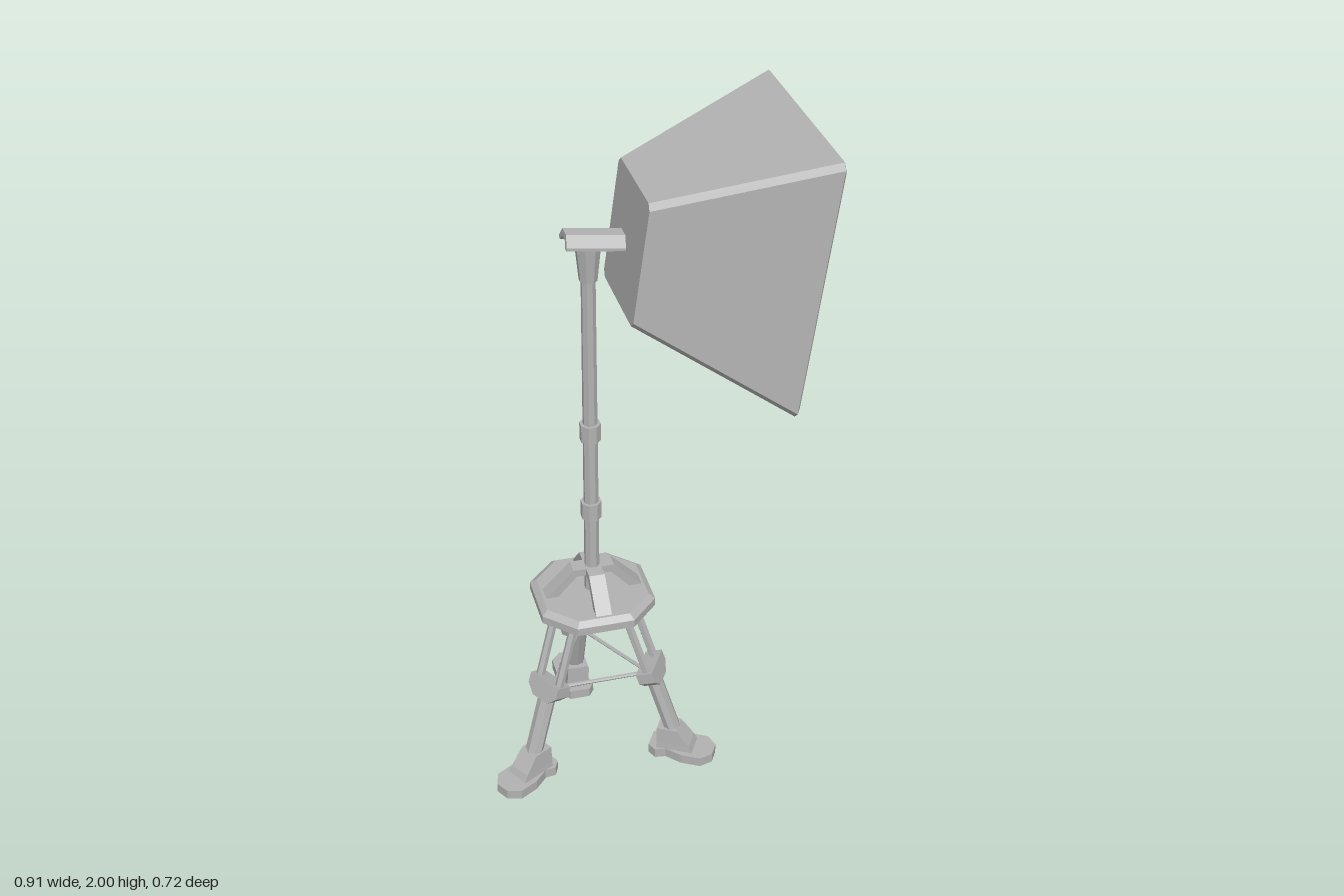
import * as THREE from 'three';

const grey = new THREE.MeshStandardMaterial({ color: 0xb2b2b2, flatShading: true });
grey.name = 'grey';

function add(parent, name, geometry, x = 0, y = 0, z = 0) {
  const mesh = new THREE.Mesh(geometry, grey);
  mesh.name = name;
  mesh.position.set(x, y, z);
  parent.add(mesh);
  return mesh;
}

// Straight rod between two points
function rod(parent, name, a, b, radius, sides = 6) {
  const from = new THREE.Vector3(...a), to = new THREE.Vector3(...b);
  const dir = to.clone().sub(from);
  const mesh = add(parent, name, new THREE.CylinderGeometry(radius, radius, dir.length(), sides));
  mesh.position.copy(from).addScaledVector(dir, 0.5);
  mesh.quaternion.setFromUnitVectors(new THREE.Vector3(0, 1, 0), dir.normalize());
  return mesh;
}

// Closed solid through rings of points, counterclockwise about the loft direction
function loft(rings) {
  const n = rings[0].length, pos = [];
  const tri = (a, b, c) => pos.push(...a, ...b, ...c);
  for (let r = 0; r < rings.length - 1; r++) {
    const A = rings[r], B = rings[r + 1];
    for (let i = 0; i < n; i++) {
      const j = (i + 1) % n;
      tri(A[i], A[j], B[j]);
      tri(A[i], B[j], B[i]);
    }
  }
  const first = rings[0], last = rings[rings.length - 1];
  for (let i = 1; i < n - 1; i++) {
    tri(first[0], first[i + 1], first[i]);
    tri(last[0], last[i], last[i + 1]);
  }
  const g = new THREE.BufferGeometry();
  g.setAttribute('position', new THREE.Float32BufferAttribute(pos, 3));
  g.computeVertexNormals();
  return g;
}

// Flat outline pushed out to a depth, centred on z
function extrude(points, depth) {
  const shape = new THREE.Shape(points.map(p => new THREE.Vector2(...p)));
  return new THREE.ExtrudeGeometry(shape, { depth, bevelEnabled: false }).translate(0, 0, -depth / 2);
}

// Rectangle with cut corners, counterclockwise in (a, b)
function cutRect(a, b, c) {
  return [[a, -b + c], [a, b - c], [a - c, b], [-a + c, b],
    [-a, b - c], [-a, -b + c], [-a + c, -b], [a - c, -b]];
}

// One leg, reaching outward along local +z
function makeLeg() {
  const leg = new THREE.Group();
  leg.name = 'leg';
  const half = [[0.022, 0.375], [0.052, 0.345], [0.052, 0.285], [0.036, 0.235], [0.048, 0.205], [0.03, 0.18]];
  const outline = [...half, ...half.map(([x, z]) => [-x, z]).reverse()];
  add(leg, 'foot', extrude(outline, 0.03).rotateX(Math.PI / 2), 0, 0.015, 0);

  const rect = (y, w, z0, z1) => [[-w, y, z0], [-w, y, z1], [w, y, z1], [w, y, z0]];
  add(leg, 'ankle', loft([rect(0.03, 0.036, 0.205, 0.315), rect(0.05, 0.034, 0.205, 0.305),
    rect(0.1, 0.031, 0.205, 0.265)]));

  const shin = rod(leg, 'lowerLeg', [0, 0.07, 0.253], [0, 0.29, 0.18], 0.028, 8);
  shin.scale.z = 0.85;

  const knee = add(leg, 'knee', extrude([[-0.03, -0.035], [0.03, -0.035], [0.058, -0.008],
    [0.058, 0.026], [-0.058, 0.026], [-0.058, -0.008]], 0.052), 0, 0.298, 0.18);
  knee.rotation.x = -0.35;

  for (const s of [-1, 1]) {
    rod(leg, 'upperLegRod', [s * 0.04, 0.3, 0.182], [s * 0.04, 0.545, 0.1], 0.013, 6);
  }
  return leg;
}

export function createModel() {
  const model = new THREE.Group();
  model.name = 'studioLight';

  const stand = new THREE.Group();
  stand.name = 'stand';
  stand.position.set(-0.125, 0, 0.0125);
  model.add(stand);

  // Three legs with braces between the knees
  const angles = [Math.PI / 3, Math.PI, -Math.PI / 3];
  const kneeAt = t => [Math.sin(t) * 0.17, 0.287, Math.cos(t) * 0.17];
  angles.forEach((t, i) => {
    const leg = makeLeg();
    leg.rotation.y = t;
    stand.add(leg);
    rod(stand, 'legBrace', kneeAt(t), kneeAt(angles[(i + 1) % 3]), 0.006, 6);
  });

  // Eight-sided plate with a bevelled top edge
  const plateRing = (y, s, c) => cutRect(s, s, c).map(([z, x]) => [x, y, z]);
  add(stand, 'plate', loft([plateRing(0.533, 0.167, 0.084), plateRing(0.557, 0.167, 0.084),
    plateRing(0.571, 0.15, 0.076)]));

  // Four bent ribs joining the plate to the post
  for (let i = 0; i < 4; i++) {
    const rib = add(stand, 'rib', extrude([[0.145, 0.568], [0.06, 0.655], [0, 0.655],
      [0, 0.632], [0.05, 0.632], [0.108, 0.568]], 0.046));
    rib.rotation.y = i * Math.PI / 2;
  }

  // Post with collars and a flared head
  const post = (name, r0, r1, y0, y1) => add(stand, name,
    new THREE.CylinderGeometry(r1, r0, y1 - y0, 8).rotateY(Math.PI / 8), 0, (y0 + y1) / 2, 0);
  post('post', 0.022, 0.02, 0.57, 1.6);
  post('collar', 0.03, 0.03, 0.822, 0.875);
  post('collar', 0.03, 0.03, 1.082, 1.135);
  post('postHead', 0.025, 0.036, 1.58, 1.69);

  // Arched bracket holding the lamp box
  const arch = [[-0.042, -0.02], [-0.03, -0.02], [-0.016, -0.002], [0.016, -0.002], [0.03, -0.02],
    [0.042, -0.02], [0.042, -0.012], [0.021, 0.016], [-0.021, 0.016], [-0.042, -0.012]];
  const bracket = add(stand, 'bracket', extrude(arch, 0.165).rotateY(Math.PI / 2), 0.018, 1.704, 0);
  bracket.rotation.z = -0.13;

  // Tilted lamp box widening toward its lit face
  const boxRing = (x, h, w, c) => cutRect(h, w, c).map(([y, z]) => [x, y, z]);
  const box = add(model, 'lampBox', loft([boxRing(0, 0.174, 0.153, 0.016),
    boxRing(0.43, 0.362, 0.313, 0.016), boxRing(0.437, 0.352, 0.303, 0.016)]), -0.031, 1.697, 0.045);
  box.rotation.z = -0.131;

  return model;
}
